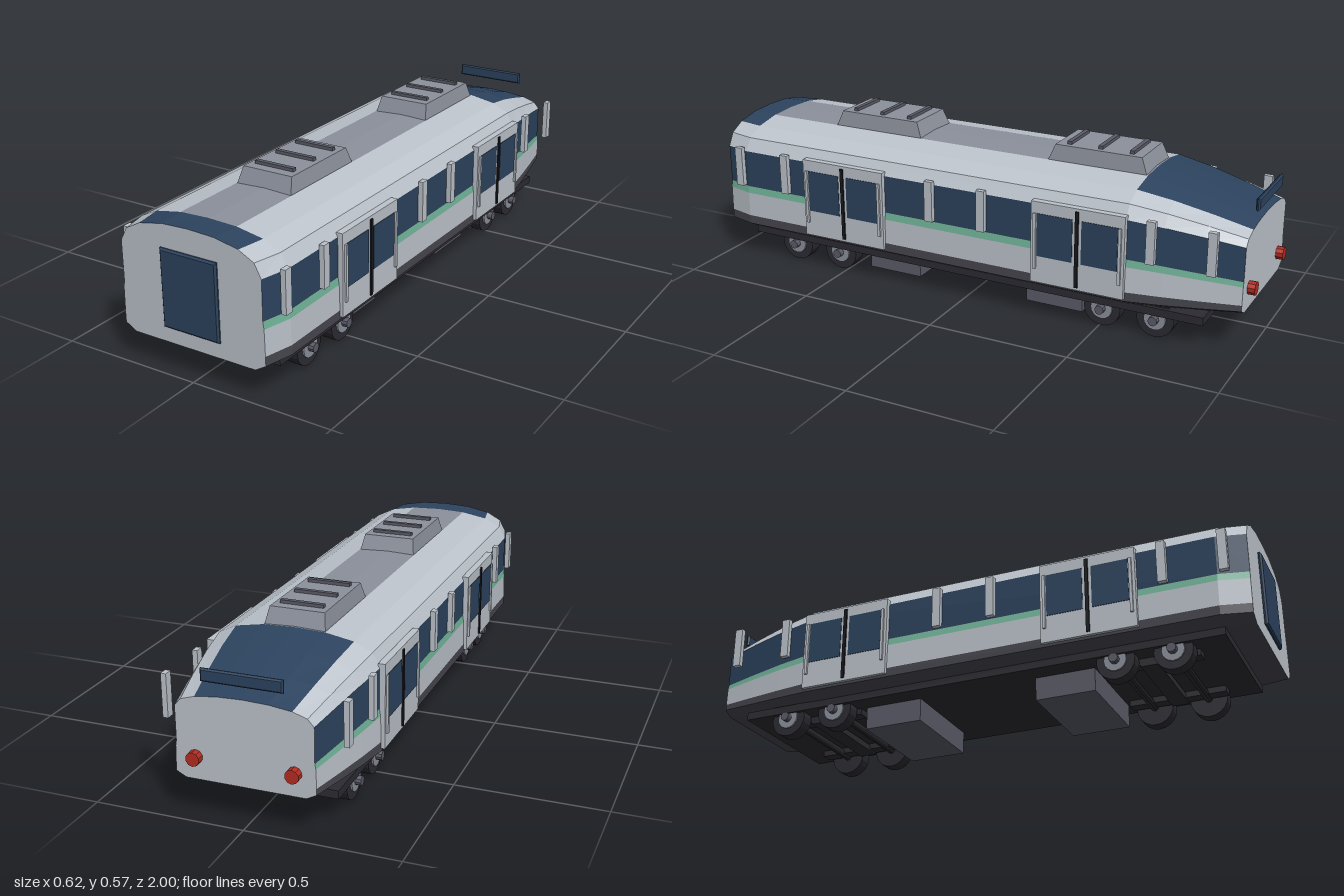
import * as THREE from 'three';

const mat = (name, color, extra = {}) => {
  const m = new THREE.MeshStandardMaterial({ color, flatShading: true, ...extra });
  m.name = name;
  return m;
};

export function createModel() {
  const M = {
    body: mat('body silver', 0xbcc3cb),
    glass: mat('navy glass', 0x2c435e),
    green: mat('green stripe', 0x6fb096),
    skirt: mat('dark skirt', 0x46464e),
    chassis: mat('chassis black', 0x2c2b32),
    roof: mat('roof grey', 0x8b909b),
    box: mat('equipment grey', 0x5a5b67),
    seam: mat('seam black', 0x17181d),
    red: mat('tail light red', 0xb52c22),
  };
  const root = new THREE.Group();
  root.name = 'railcar';

  const add = (name, geo, material, x = 0, y = 0, z = 0, parent = root) => {
    const mesh = new THREE.Mesh(geo, material);
    mesh.name = name;
    mesh.position.set(x, y, z);
    parent.add(mesh);
    return mesh;
  };
  // Box given by its limits
  const slab = (name, material, x0, x1, y0, y1, z0, z1, parent = root) =>
    add(name, new THREE.BoxGeometry(x1 - x0, y1 - y0, z1 - z0), material,
      (x0 + x1) / 2, (y0 + y1) / 2, (z0 + z1) / 2, parent);
  // Flat panel with chamfered edges, centred on its own origin
  const panel = (w, h, d, c) => {
    const a = w / 2 - c, b = h / 2 - c;
    const s = new THREE.Shape([[-a, -b], [a, -b], [a, b], [-a, b]].map(p => new THREE.Vector2(...p)));
    return new THREE.ExtrudeGeometry(s, {
      depth: d - 2 * c, bevelEnabled: true, bevelSize: c, bevelThickness: c, bevelSegments: 1,
    }).translate(0, 0, c - d / 2);
  };

  // Half cross-section from the floor centre up to the roof centre
  const px = [0, 0.25, 0.292, 0.292, 0.29, 0.286, 0.286, 0.26, 0.2, 0.105, 0];
  const py = [0.107, 0.107, 0.13, 0.162, 0.25, 0.275, 0.41, 0.455, 0.484, 0.501, 0.505];
  // The same heights where the tail ends
  const ty = [0.13, 0.13, 0.147, 0.168, 0.23, 0.247, 0.362, 0.385, 0.4, 0.409, 0.412];
  const section = (z, xs, t) => px.map((x, i) => [x * xs, py[i] + (ty[i] - py[i]) * t, z]);
  const tail = u => section(-0.6 - 0.375 * u, 1 - 0.22 * Math.pow(u, 1.15), Math.pow(u, 1.25));
  const rings = [section(0.988, 0.915, 0), section(0.89, 1, 0), ...[0, 0.33, 0.67, 1].map(tail)];

  // Colour of each band along the shell
  const bandColour = (ring, band) => {
    if (band < 3) return 'skirt';
    if (band === 4) return 'green';
    if (band === 5) return 'glass';
    if (band >= 8 && ring !== 1) return 'glass';
    return band === 9 ? 'roof' : 'body';
  };
  const soup = {};
  for (let i = 0; i < rings.length - 1; i++) {
    for (let j = 0; j < px.length - 1; j++) {
      const list = (soup[bandColour(i, j)] ??= []);
      const a = rings[i][j], b = rings[i][j + 1], c = rings[i + 1][j + 1], d = rings[i + 1][j];
      const flip = p => [-p[0], p[1], p[2]];
      for (const p of [a, d, c, a, c, b]) list.push(...p);
      for (const p of [a, c, d, a, b, c].map(flip)) list.push(...p);
    }
  }
  const shellNames = {
    skirt: 'lowerSkirt', green: 'sideStripe', glass: 'windowBands', roof: 'roofStrip', body: 'bodyShell',
  };
  for (const [key, list] of Object.entries(soup)) {
    const g = new THREE.BufferGeometry();
    g.setAttribute('position', new THREE.Float32BufferAttribute(list, 3));
    g.computeVertexNormals();
    add(shellNames[key], g, M[key]);
  }
  // End walls
  const endWall = (name, ring, turn) => {
    const right = ring.slice(1).map(p => new THREE.Vector2(p[0], p[1]));
    const left = ring.slice(1, -1).reverse().map(p => new THREE.Vector2(-p[0], p[1]));
    const g = new THREE.ShapeGeometry(new THREE.Shape([...right, ...left]));
    add(name, g, M.body, 0, 0, ring[0][2]).rotation.y = turn;
  };
  endWall('frontWall', rings[0], 0);
  endWall('rearWall', rings[rings.length - 1], Math.PI);

  // End door, rear bar and tail lights
  add('frontDoorPanel', panel(0.212, 0.264, 0.016, 0.006), M.glass, 0, 0.293, 0.992);
  add('rearBar', panel(0.264, 0.042, 0.014, 0.005), M.glass, 0, 0.474, -0.976);
  for (const s of [-1, 1]) {
    const lamp = new THREE.CylinderGeometry(0.023, 0.023, 0.03, 10).rotateX(Math.PI / 2);
    add('tailLight', lamp, M.red, s * 0.16, 0.205, -0.985);
  }

  // Side fittings, mirrored
  for (const s of [-1, 1]) {
    const side = new THREE.Group();
    side.name = s > 0 ? 'leftSide' : 'rightSide';
    root.add(side);
    const sideBox = (name, m, x0, x1, y0, y1, z0, z1) =>
      slab(name, m, Math.min(s * x0, s * x1), Math.max(s * x0, s * x1), y0, y1, z0, z1, side);
    for (const z of [0.915, 0.715, 0.115, -0.085, -0.69, -0.892])
      sideBox('windowPost', M.body, 0.286, 0.304, 0.28, 0.425, z - 0.015, z + 0.015);
    for (const z of [0.463, -0.44]) {
      sideBox('doorFrame', M.body, 0.28, 0.304, 0.14, 0.425, z - 0.165, z + 0.165);
      sideBox('doorSeam', M.seam, 0.303, 0.309, 0.15, 0.415, z - 0.006, z + 0.006);
      for (const e of [-1, 1]) {
        sideBox('doorWindow', M.glass, 0.3, 0.306, 0.235, 0.385, z + e * 0.079 - 0.063, z + e * 0.079 + 0.063);
        sideBox('doorRail', M.body, 0.303, 0.311, 0.19, 0.385, z + e * 0.15 - 0.005, z + e * 0.15 + 0.005);
      }
    }
  }

  // Roof units with sloped sides and three vents
  for (const z of [0.434, -0.418]) {
    const unit = new THREE.Group();
    unit.name = 'roofUnit';
    unit.position.z = z;
    root.add(unit);
    const g = new THREE.BoxGeometry(0.212, 0.07, 0.366);
    const p = g.attributes.position;
    for (let i = 0; i < p.count; i++)
      if (p.getY(i) > 0) p.setXYZ(i, p.getX(i) * 0.88, p.getY(i), p.getZ(i) * 0.85);
    g.computeVertexNormals();
    add('roofUnitCase', g, M.roof, 0, 0.52, 0, unit);
    for (const v of [-0.112, 0, 0.112])
      slab('roofVent', M.box, -0.074, 0.074, 0.55, 0.566, v - 0.008, v + 0.008, unit);
  }

  // Underframe
  slab('chassis', M.chassis, -0.25, 0.25, 0.081, 0.109, -0.86, 0.893);
  slab('equipmentBoxFront', M.box, -0.176, 0.176, 0.001, 0.082, 0.228, 0.437);
  slab('equipmentBoxRear', M.box, -0.176, 0.176, 0.001, 0.082, -0.41, -0.2);

  // Bogies
  const along = (r, len, n) => new THREE.CylinderGeometry(r, r, len, n).rotateZ(Math.PI / 2);
  for (const [za, zb] of [[0.72, 0.528], [-0.507, -0.694]]) {
    const bogie = new THREE.Group();
    bogie.name = 'bogie';
    root.add(bogie);
    const mid = (za + zb) / 2;
    slab('bogieCrossbeam', M.chassis, -0.18, 0.18, 0.054, 0.076, mid - 0.03, mid + 0.03, bogie);
    for (const s of [-1, 1])
      slab('bogieSideBeam', M.chassis, s * 0.158 - 0.022, s * 0.158 + 0.022, 0.06, 0.083, mid - 0.17, mid + 0.17, bogie);
    for (const z of [za, zb]) {
      add('axle', along(0.014, 0.4, 10), M.chassis, 0, 0.065, z, bogie);
      for (const s of [-1, 1]) {
        add('wheel', along(0.065, 0.047, 20), M.chassis, s * 0.213, 0.065, z, bogie);
        add('wheelDisc', along(0.038, 0.008, 16), M.roof, s * 0.239, 0.065, z, bogie);
        add('axleCap', along(0.016, 0.022, 10), M.box, s * 0.252, 0.065, z, bogie);
      }
    }
  }
  return root;
}
